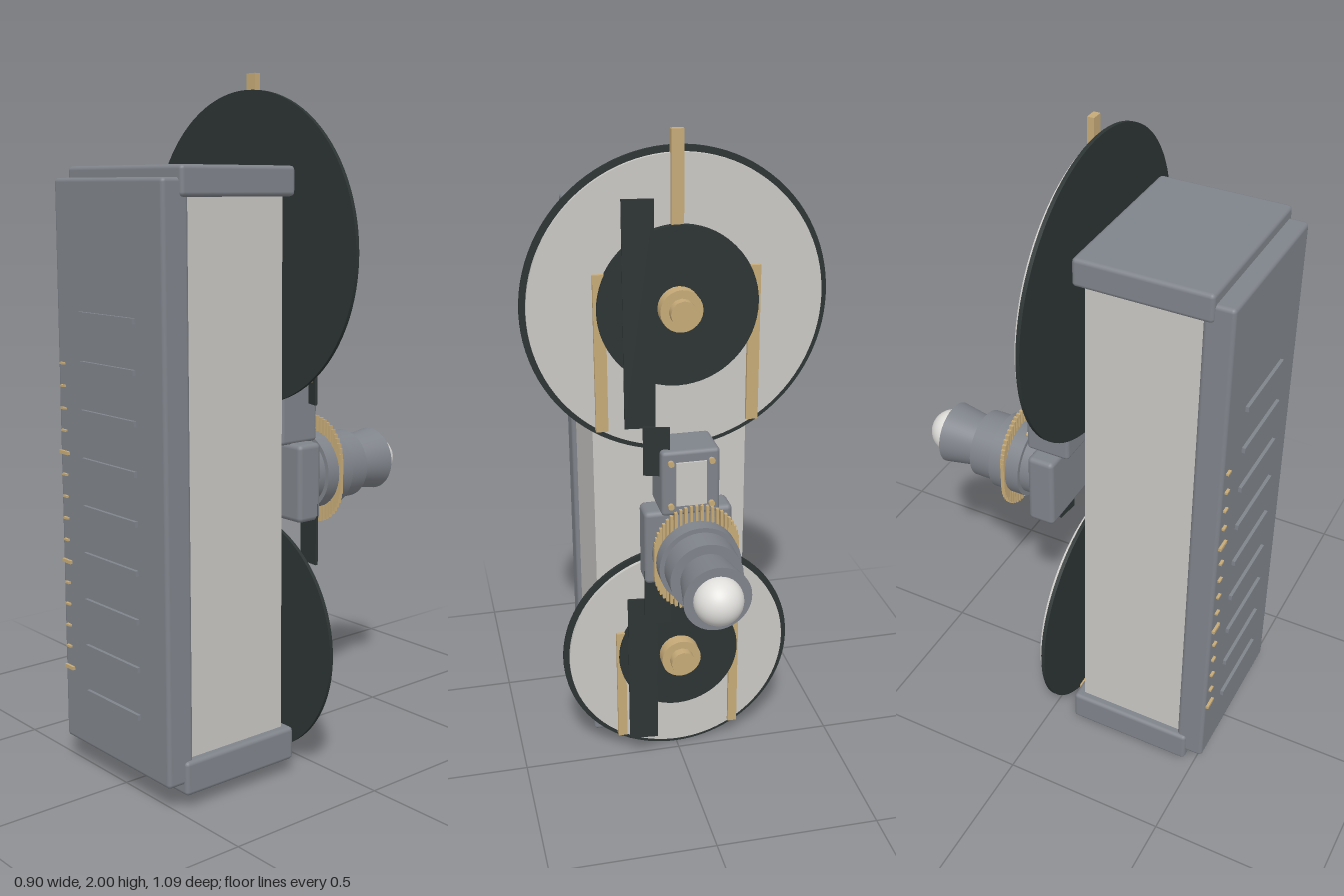
import * as THREE from 'three';
import { RoundedBoxGeometry } from 'three/addons/geometries/RoundedBoxGeometry.js';

const mat = (name, color) => {
  const m = new THREE.MeshStandardMaterial({ color });
  m.name = name;
  return m;
};

export function createModel() {
  const grey = mat('grey metal', 0x7f838a);
  const dark = mat('dark metal', 0x2c3433);
  const light = mat('light panel', 0xc9c7c3);
  const white = mat('glass white', 0xe0dfdc);
  const tan = mat('brass', 0xc6aa78);
  const model = new THREE.Group();

  const add = (parent, name, geo, material, x, y, z) => {
    const mesh = new THREE.Mesh(geo, material);
    mesh.name = name;
    mesh.position.set(x, y, z);
    parent.add(mesh);
    return mesh;
  };
  // Box given by its limits; r rounds the edges
  const box = (parent, name, m, x0, x1, y0, y1, z0, z1, r = 0) => {
    const s = [x1 - x0, y1 - y0, z1 - z0];
    const geo = r ? new RoundedBoxGeometry(...s, 2, r) : new THREE.BoxGeometry(...s);
    return add(parent, name, geo, m, (x0 + x1) / 2, (y0 + y1) / 2, (z0 + z1) / 2);
  };
  // Cylinder along z from zBack (radius rBack) to zFront (radius rFront)
  const drum = (parent, name, m, y, zBack, zFront, rBack, rFront = rBack, sides = 64) => {
    const geo = new THREE.CylinderGeometry(rFront, rBack, zFront - zBack, sides).rotateX(Math.PI / 2);
    return add(parent, name, geo, m, 0, y, (zBack + zFront) / 2);
  };

  // Cabinet
  const cabinet = new THREE.Group();
  cabinet.name = 'cabinet';
  model.add(cabinet);
  box(cabinet, 'core', light, -0.237, 0.237, 0.1, 1.7, 0.12, 0.46);
  box(cabinet, 'frontPanel', grey, -0.252, 0.252, 0.08, 1.71, 0.45, 0.535, 0.012);
  box(cabinet, 'topCap', grey, -0.262, 0.262, 1.66, 1.742, 0.093, 0.482, 0.012);
  box(cabinet, 'bottomCap', grey, -0.262, 0.262, 0.048, 0.146, 0.093, 0.482, 0.012);
  box(cabinet, 'bottomTrim', tan, -0.21, 0.21, 0.126, 0.136, 0.087, 0.095);

  // Front louvres and side scale
  for (let i = 0; i < 9; i++) {
    const y = 1.34 - i * 0.1363;
    box(cabinet, 'louvre', grey, -0.126, 0.126, y - 0.008, y + 0.008, 0.53, 0.545);
  }
  for (let i = 0; i < 15; i++) {
    const y = 1.196 - i * 0.064;
    const major = i % 5 === 4;
    const [w, h] = major ? [0.021, 0.005] : [0.01, 0.003];
    box(cabinet, 'scaleMark', tan, -0.222 - w, -0.222 + w, y - h, y + h, 0.53, 0.543);
  }
  // Rear vents
  for (let i = 0; i < 4; i++) {
    const y = 0.3 + i * 0.047;
    box(cabinet, 'rearVent', dark, -0.08, 0.08, y - 0.01, y + 0.01, 0.112, 0.125);
  }

  // Reel with its arm block, spokes, hub and guide blade
  const reel = (name, y, s, radius, armY0, armY1, bladeY0, bladeY1) => {
    const g = new THREE.Group();
    g.name = name;
    model.add(g);
    box(g, 'armBlock', grey, -0.066, 0.066, armY0, armY1, 0.03, 0.112, 0.012);
    drum(g, 'rim', dark, y, 0.035, 0.046, radius, radius, 96);
    drum(g, 'disc', light, y, 0.022, 0.036, radius - 0.018, radius - 0.018, 96);
    drum(g, 'innerDisc', dark, y, 0, 0.021, 0.235 * s);
    for (let i = 0; i < 3; i++) {
      const a = Math.PI / 2 + i * Math.PI * 2 / 3;
      const x = Math.cos(a) * 0.26 * s;
      const cy = y + Math.sin(a) * 0.26 * s;
      box(g, 'spoke', tan, x - 0.018 * s, x + 0.018 * s, cy - 0.235 * s, cy + 0.235 * s, 0.011, 0.031);
    }
    drum(g, 'hub', tan, y, -0.04, 0.01, 0.062, 0.062, 24);
    drum(g, 'hubNut', tan, y, -0.068, -0.038, 0.038, 0.038, 12);
    const blade = box(g, 'blade', dark, 0.078, 0.168, bladeY0, bladeY1, -0.04, -0.032);
    blade.rotation.y = -0.11;
  };
  reel('upperReel', 1.508, 1, 0.448, 1.1, 1.456, 1.165, 1.83);
  reel('lowerReel', 0.368, 0.81, 0.363, 0.48, 0.836, 0.09, 0.598);

  // Gate box above the lens
  const gate = new THREE.Group();
  gate.name = 'gate';
  model.add(gate);
  box(gate, 'gateBox', grey, -0.086, 0.086, 0.932, 1.134, -0.157, -0.016, 0.012);
  box(gate, 'gateWindow', light, -0.045, 0.045, 0.965, 1.1, -0.163, -0.155);
  for (const x of [-0.06, 0.06]) {
    for (const y of [0.965, 1.1]) drum(gate, 'screw', tan, y, -0.168, -0.15, 0.009, 0.009, 12).position.x = x;
  }
  const upperBlade = box(gate, 'upperBlade', dark, 0.055, 0.132, 1.05, 1.2, -0.126, -0.118);
  upperBlade.rotation.y = -0.32;
  const lowerBlade = box(gate, 'lowerBlade', dark, 0.055, 0.132, 0.562, 0.75, -0.124, -0.116);
  lowerBlade.rotation.y = -0.11;

  // Lens barrel
  const lens = new THREE.Group();
  lens.name = 'lens';
  model.add(lens);
  const ly = 0.826;
  box(lens, 'lensMount', grey, -0.132, 0.132, 0.7, 0.936, -0.132, -0.045, 0.015);
  drum(lens, 'rearBarrel', grey, ly, -0.18, -0.11, 0.106);
  drum(lens, 'focusBarrel', grey, ly, -0.276, -0.174, 0.12);
  drum(lens, 'frontBarrel', grey, ly, -0.352, -0.27, 0.106);
  drum(lens, 'lensHood', grey, ly, -0.47, -0.35, 0.097, 0.077);
  add(lens, 'bulb', new THREE.SphereGeometry(0.07, 40, 24), white, 0, ly, -0.477);

  // Upright ribs set around the focus barrel
  for (let i = 0; i < 48; i++) {
    const a = i / 48 * Math.PI * 2;
    const x = Math.cos(a) * 0.121;
    const y = ly + Math.sin(a) * 0.121;
    box(lens, 'focusRib', tan, x - 0.004, x + 0.004, y - 0.046, y + 0.046, -0.23, -0.218);
  }
  return model;
}
